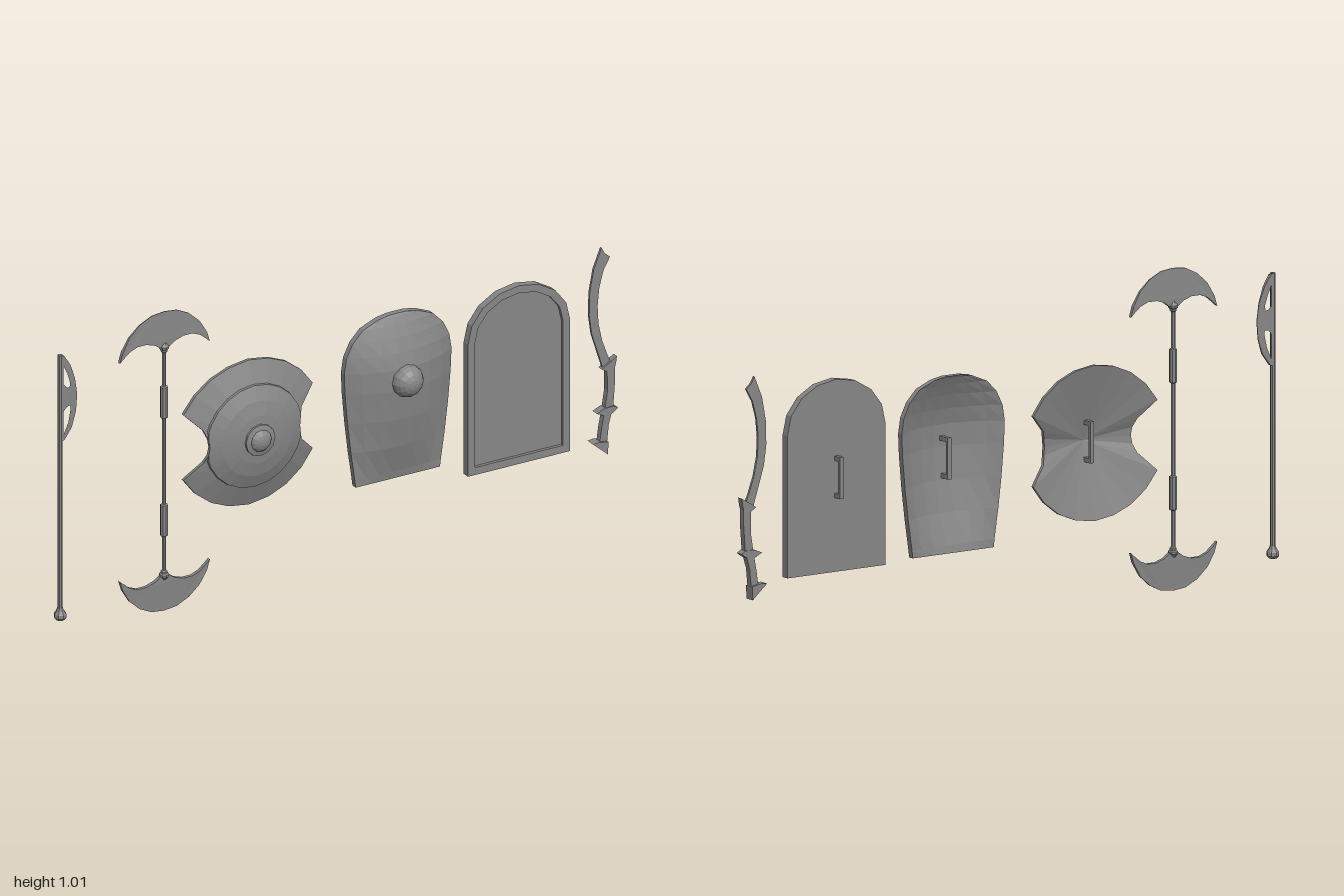
import * as THREE from 'three';

const mat = new THREE.MeshStandardMaterial({ color: 0x868686, flatShading: true });

function add(parent, name, geo, x = 0, y = 0, z = 0) {
  const mesh = new THREE.Mesh(geo, mat);
  mesh.name = name;
  mesh.position.set(x, y, z);
  parent.add(mesh);
}
function group(parent, name, x = 0, y = 0, z = 0) {
  const g = new THREE.Group();
  g.name = name;
  g.position.set(x, y, z);
  parent.add(g);
  return g;
}
const vecs = (pts) => pts.map(([x, y]) => new THREE.Vector2(x, y));

// Flat plate cut from an outline, centred on z = 0
function plate(pts, depth, holes = []) {
  const shape = new THREE.Shape(vecs(pts));
  holes.forEach((h) => shape.holes.push(new THREE.Path(vecs(h))));
  return new THREE.ExtrudeGeometry(shape, { depth, bevelEnabled: false }).translate(0, 0, -depth / 2);
}

// Thins a plate towards its cutting edge by a factor of x and y
function sharpen(geo, factor) {
  const p = geo.attributes.position;
  for (let i = 0; i < p.count; i++) {
    p.setZ(i, p.getZ(i) * THREE.MathUtils.clamp(factor(p.getX(i), p.getY(i)), 0.2, 1));
  }
  geo.computeVertexNormals();
  return geo;
}

// Turned part around the y axis, profile given as [radius, y]
const turned = (pts, sides = 8) => new THREE.LatheGeometry(vecs(pts), sides);

// Skin over loops that run counter-clockwise when looking along the direction of travel
function skin(loops) {
  const n = loops[0].length, pos = [];
  for (let k = 0; k < loops.length - 1; k++) {
    for (let i = 0; i < n; i++) {
      const j = (i + 1) % n;
      const a = loops[k][i], b = loops[k][j], c = loops[k + 1][j], d = loops[k + 1][i];
      pos.push(...a, ...d, ...c, ...a, ...c, ...b);
    }
  }
  const g = new THREE.BufferGeometry();
  g.setAttribute('position', new THREE.Float32BufferAttribute(pos, 3));
  g.computeVertexNormals();
  return g;
}

// Squared grip on the back of a shield; z is where its feet start
function grip(parent, y, z, reach) {
  const g = group(parent, 'grip', 0, y, z);
  add(g, 'gripBar', new THREE.BoxGeometry(0.014, 0.13, 0.01), 0, 0, -reach + 0.005);
  for (const s of [-1, 1]) {
    add(g, 'gripFoot', new THREE.BoxGeometry(0.014, 0.014, reach), 0, s * 0.058, -reach / 2);
  }
}

// Domed boss facing +z
function boss(parent, r, h, y, z) {
  const geo = new THREE.SphereGeometry(r, 12, 5, 0, Math.PI * 2, 0, Math.PI / 2);
  geo.scale(1, h / r, 1).rotateX(Math.PI / 2);
  add(parent, 'boss', geo, 0, y, z);
}

function poleAxe(root) {
  const g = group(root, 'poleAxe', -0.98, 0, 0);
  add(g, 'shaft', new THREE.CylinderGeometry(0.008, 0.008, 0.87, 8), 0, 0.515, 0);
  add(g, 'pommel', turned([[0, 0.06], [0.013, 0.06], [0.02, 0.068], [0.02, 0.08], [0.013, 0.09], [0.009, 0.1], [0, 0.1]]));
  const outline = [[0, 0.95], [0.012, 0.945], [0.034, 0.91], [0.052, 0.86], [0.06, 0.805], [0.056, 0.75], [0.04, 0.7], [0.012, 0.663], [0, 0.66]];
  const upper = [[0.009, 0.912], [0.022, 0.885], [0.033, 0.85], [0.03, 0.835], [0.02, 0.838], [0.009, 0.85]];
  const lower = [[0.009, 0.76], [0.02, 0.772], [0.033, 0.775], [0.034, 0.76], [0.026, 0.72], [0.009, 0.682]];
  add(g, 'crescentBlade', sharpen(plate(outline, 0.012, [upper, lower]), (x) => (0.062 - x) / 0.035));
}

function doubleAxe(root) {
  const g = group(root, 'doubleAxe', -0.61, 0.505, 0);
  add(g, 'shaft', new THREE.CylinderGeometry(0.007, 0.007, 0.8, 8));
  // Half outline of the head, mirrored across the shaft
  const half = [[0, 0.503], [0.045, 0.498], [0.088, 0.477], [0.125, 0.443], [0.15, 0.4], [0.16, 0.367],
    [0.148, 0.378], [0.125, 0.397], [0.098, 0.408], [0.065, 0.408], [0.035, 0.398], [0.014, 0.383]];
  const outline = [...half, ...half.slice(1).reverse().map(([x, y]) => [-x, y])];
  for (const s of [0, 1]) {
    const end = group(g, s ? 'lowerEnd' : 'upperEnd');
    end.rotation.z = s * Math.PI;
    add(end, 'blade', sharpen(plate(outline, 0.012), (x, y) => (0.51 - y) / 0.1));
    add(end, 'collar', turned([[0.006, 0.365], [0.011, 0.37], [0.011, 0.376], [0.016, 0.38], [0.016, 0.387], [0.01, 0.393], [0.006, 0.4]]));
    add(end, 'handgrip', turned([[0.006, 0.143], [0.012, 0.147], [0.012, 0.25], [0.006, 0.254]]));
  }
}

function roundShield(root) {
  const g = group(root, 'notchedRoundShield', -0.284, 0.508, 0);
  // Rim as [degrees, radius] for one quarter, mirrored to all four
  const quarter = [[0, 0.16], [9, 0.166], [17, 0.182], [25.5, 0.255], [41, 0.25], [57, 0.246], [73, 0.243]];
  const flip = (a) => a.slice().reverse();
  const top = [...quarter, [90, 0.243], ...flip(quarter).map(([t, r]) => [180 - t, r])];
  const rim = [...top, ...flip(top.slice(1, -1)).map(([t, r]) => [360 - t, r])];
  // Height of the front by radius, with the step around the inner dome
  const zAt = (r) => r < 0.08 ? 0.03 - r * 0.1 : r < 0.125 ? 0.022 - (r - 0.08) * 0.22
    : r < 0.171 ? 0.012 - (r - 0.125) * 0.4 : -0.013 - (r - 0.171) * 0.37;
  const ring = (r, dz = 0) => rim.map(([t, max]) => {
    const q = Math.min(r, max), a = THREE.MathUtils.degToRad(t);
    return [q * Math.cos(a), q * Math.sin(a), zAt(q) + dz];
  });
  add(g, 'disc', skin([ring(0), ring(0.08), ring(0.125), ring(0.17), ring(0.1715), ring(0.3), ring(0.3, -0.011), ring(0, -0.018)]));
  add(g, 'bossPlate', turned([[0.053, 0], [0.052, 0.011], [0.036, 0.015]], 12).rotateX(Math.PI / 2), 0, 0, 0.02);
  boss(g, 0.038, 0.023, 0, 0.028);
  grip(g, 0, 0.012, 0.05);
}

function curvedShield(root) {
  const g = group(root, 'curvedShield', 0.247, 0, 0);
  // Rows from bottom to top: [height, half width, bulge]
  const rows = [[0.23, 0.15, 0], [0.255, 0.153, 0.08], [0.35, 0.167, 0.55], [0.45, 0.179, 0.85], [0.55, 0.188, 1], [0.62, 0.191, 0.97],
    [0.67, 0.183, 0.78], [0.715, 0.161, 0.52], [0.752, 0.125, 0.26], [0.775, 0.07, 0.08], [0.782, 0.03, 0]];
  const across = [1, 0.75, 0.45, 0.15, -0.15, -0.45, -0.75, -1];
  // Each row goes across the bulged front and returns along the hollow back
  const loops = rows.map(([y, w, b]) => {
    const side = (base, depth) => across.map((u) => [u * w, y, base + depth * b * (1 - u * u)]);
    return [...side(-0.04, 0.059), ...side(-0.06, 0.066).reverse()];
  });
  const cap = (y) => loops[0].map(() => [0, y, -0.05]);
  add(g, 'shell', skin([cap(0.23), ...loops, cap(0.782)]));
  boss(g, 0.053, 0.047, 0.577, 0.014);
  grip(g, 0.52, 0.006, 0.046);
}

function archedShield(root) {
  const g = group(root, 'archedShield', 0.639, 0, 0);
  // Straight sides under a faceted arch, shrunk by an inset
  const outline = (inset) => {
    const w = 0.182 - inset, pts = [[-w, 0.207 + inset], [w, 0.207 + inset]];
    for (let i = 0; i <= 8; i++) {
      const a = i * Math.PI / 8;
      pts.push([w * Math.cos(a), 0.65 + (0.157 - inset) * Math.sin(a)]);
    }
    return pts;
  };
  add(g, 'board', plate(outline(0.005), 0.015), 0, 0, 0.0075);
  add(g, 'rim', plate(outline(0), 0.026, [outline(0.025)]), 0, 0, 0.013);
  grip(g, 0.503, 0, 0.028);
}

function sabre(root) {
  const g = group(root, 'curvedSabre');
  add(g, 'blade', plate([[0.946, 0.852], [0.957, 0.832], [0.976, 0.815], [0.953, 0.775], [0.938, 0.72], [0.932, 0.66], [0.935, 0.6],
    [0.948, 0.54], [0.966, 0.49], [0.978, 0.462], [0.95, 0.448], [0.93, 0.51], [0.911, 0.57], [0.902, 0.635], [0.904, 0.71], [0.918, 0.785]], 0.008));
  add(g, 'upperGuard', plate([[0.944, 0.445], [0.96, 0.456], [0.978, 0.466], [0.997, 0.478], [0.994, 0.455], [0.988, 0.435], [0.965, 0.432]], 0.02));
  add(g, 'handle', plate([[0.962, 0.44], [0.99, 0.45], [0.99, 0.39], [0.984, 0.31], [0.968, 0.255], [0.962, 0.195], [0.936, 0.2],
    [0.943, 0.25], [0.953, 0.3], [0.964, 0.37]], 0.02));
  add(g, 'lowerGuard', plate([[0.924, 0.302], [0.95, 0.313], [0.985, 0.314], [1.0, 0.305], [0.982, 0.292], [0.95, 0.289]], 0.026));
  add(g, 'pommel', plate([[0.93, 0.206], [0.963, 0.2], [0.961, 0.158], [0.936, 0.18], [0.908, 0.204]], 0.034));
}

export function createModel() {
  const root = new THREE.Group();
  root.name = 'armoury';
  [poleAxe, doubleAxe, roundShield, curvedShield, archedShield, sabre].forEach((build) => build(root));
  return root;
}
